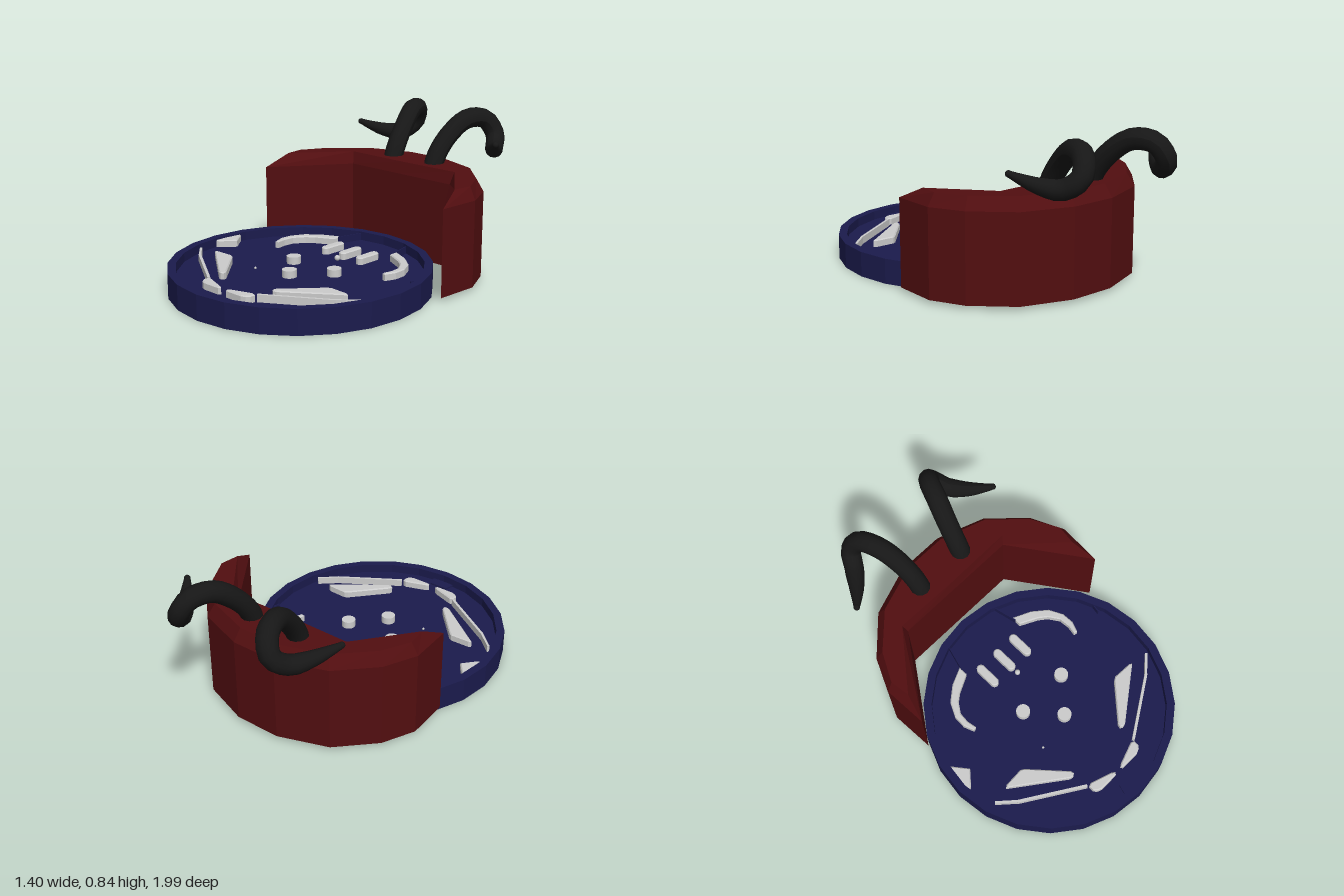
import * as THREE from 'three';

const mat = (color, extra = {}) => new THREE.MeshStandardMaterial({ color, ...extra });
const navy = mat(0x1b1b4d), red = mat(0x520e10, { flatShading: true });
const black = mat(0x171717), grey = mat(0xcccccc);
const FLOOR = 0.085, TOP = 0.125;

function add(parent, name, geometry, material, x = 0, y = 0, z = 0) {
  const mesh = new THREE.Mesh(geometry, material);
  mesh.name = name;
  mesh.position.set(x, y, z);
  parent.add(mesh);
  return mesh;
}

// Upright slab from a plan shape whose y runs towards the back (-z)
function slab(shape, y0, y1, bevel = 0) {
  const geo = new THREE.ExtrudeGeometry(shape, {
    depth: y1 - y0 - bevel, bevelEnabled: bevel > 0, bevelSize: bevel, bevelThickness: bevel,
    bevelOffset: -bevel, bevelSegments: 1, curveSegments: 6,
  });
  return geo.rotateX(-Math.PI / 2).translate(0, y0, 0);
}

// Plan shape from [x, z] points, optionally mirrored about x = axis
const plan = (pts, mirror = false, axis = 0) =>
  new THREE.Shape(pts.map(([x, z]) => new THREE.Vector2(mirror ? 2 * axis - x : x, -z)));

function mirroredPair(parent, name, pts, axis = 0) {
  add(parent, name + 'Right', slab(plan(pts), FLOOR, TOP, 0.006), grey);
  add(parent, name + 'Left', slab(plan(pts, true, axis), FLOOR, TOP, 0.006), grey);
}

function wall(parent, name, [x0, z0], [x1, z1], material, width) {
  const len = Math.hypot(x1 - x0, z1 - z0);
  const mesh = add(parent, name, new THREE.BoxGeometry(len, TOP - FLOOR, width), material,
    (x0 + x1) / 2, (TOP + FLOOR) / 2, (z0 + z1) / 2);
  mesh.rotation.y = -Math.atan2(z1 - z0, x1 - x0);
}

// Stack of matching rings (plan points plus height), capped at both ends
function loft(rings) {
  const pos = [], n = rings[0].pts.length;
  const put = (r, i) => pos.push(r.pts[i].x, r.y, -r.pts[i].y);
  for (let k = 0; k + 1 < rings.length; k++) {
    const a = rings[k], b = rings[k + 1];
    for (let i = 0; i < n; i++) {
      const j = (i + 1) % n;
      put(a, i); put(a, j); put(b, j);
      put(a, i); put(b, j); put(b, i);
    }
  }
  const last = rings[rings.length - 1];
  for (const [a, b, c] of THREE.ShapeUtils.triangulateShape(last.pts, [])) {
    put(last, a); put(last, b); put(last, c);
  }
  for (const [a, b, c] of THREE.ShapeUtils.triangulateShape(rings[0].pts, [])) {
    put(rings[0], c); put(rings[0], b); put(rings[0], a);
  }
  const geo = new THREE.BufferGeometry();
  geo.setAttribute('position', new THREE.Float32BufferAttribute(pos, 3));
  geo.computeVertexNormals();
  return geo;
}

// Full outline from its +x half; the first point lies on the mirror axis
function outline(half, cx) {
  const right = half.map(([x, z]) => new THREE.Vector2(cx + x, -z));
  const left = half.slice(1).reverse().map(([x, z]) => new THREE.Vector2(cx - x, -z));
  return [...right, ...left];
}

// Tube whose radius follows a list of values along the path
function taperedTube(points, radii, segments = 26, sides = 12) {
  const curve = new THREE.CatmullRomCurve3(points.map((p) => new THREE.Vector3(...p)));
  const geo = new THREE.TubeGeometry(curve, segments, 1, sides);
  const pos = geo.attributes.position, v = new THREE.Vector3();
  for (let i = 0; i <= segments; i++) {
    const t = i / segments, c = curve.getPointAt(t);
    const f = t * (radii.length - 1), k = Math.min(Math.floor(f), radii.length - 2);
    const r = THREE.MathUtils.lerp(radii[k], radii[k + 1], f - k);
    for (let j = 0; j <= sides; j++) {
      const id = i * (sides + 1) + j;
      v.fromBufferAttribute(pos, id).sub(c).multiplyScalar(r).add(c);
      pos.setXYZ(id, v.x, v.y, v.z);
    }
  }
  geo.computeVertexNormals();
  return geo;
}

function makeTable() {
  const table = new THREE.Group();
  table.name = 'table';
  const ring = (r) => Array.from({ length: 24 }, (_, i) => {
    const a = (i / 24) * Math.PI * 2;
    return [r * Math.cos(a), 0.3 - r * Math.sin(a)];
  });
  // Tray floor and raised rim
  add(table, 'tableFloor', slab(plan(ring(0.7)), 0, FLOOR), navy);
  const rim = plan(ring(0.7));
  rim.holes.push(plan(ring(0.655)));
  add(table, 'rim', slab(rim, FLOOR, 0.135), navy);

  // Entry lane walls, side gate and drain
  wall(table, 'laneWallRight', [-0.2, -0.19], [-0.155, -0.35], navy, 0.006);
  wall(table, 'laneWallLeft', [0.225, -0.19], [0.19, -0.35], navy, 0.006);
  wall(table, 'sideGate', [0.6, 0.11], [0.61, 0.05], navy, 0.006);
  add(table, 'drain', slab(plan([[-0.07, 0.95], [0.07, 0.95], [0.055, 0.89], [-0.055, 0.89]]), FLOOR, 0.095), navy);

  // Round bumpers, lane posts and ball
  for (const [x, z] of [[-0.13, 0.225], [0.175, 0.225], [0.02, 0.4]])
    add(table, 'bumper', new THREE.CylinderGeometry(0.039, 0.039, TOP - FLOOR, 20), grey, x, (TOP + FLOOR) / 2, z);
  for (const x of [-0.12, 0.013, 0.14]) {
    const s = new THREE.Shape();
    s.absarc(x, 0.12, 0.024, 0, Math.PI);
    s.absarc(x, 0.012, 0.024, Math.PI, Math.PI * 2);
    add(table, 'lanePost', slab(s, FLOOR, TOP, 0.006), grey);
  }
  add(table, 'ball', new THREE.SphereGeometry(0.016, 12, 8), grey, 0.015, FLOOR + 0.016, 0.037);
  add(table, 'pin', new THREE.SphereGeometry(0.007, 8, 6), grey, -0.195, FLOOR + 0.007, 0.445);

  // Curved guides, slingshots, flippers and outlane rails
  mirroredPair(table, 'curvedGuide', [[-0.2, -0.21], [-0.3, -0.165], [-0.38, -0.1], [-0.42, -0.02],
    [-0.423, 0.05], [-0.4, 0.11], [-0.38, 0.105], [-0.39, 0.05], [-0.385, -0.01], [-0.345, -0.07],
    [-0.3, -0.105], [-0.2, -0.155]], 0.013);
  mirroredPair(table, 'slingshot', [[-0.505, 0.465], [-0.49, 0.455], [-0.38, 0.45], [-0.36, 0.462],
    [-0.19, 0.65], [-0.185, 0.67], [-0.2, 0.68], [-0.22, 0.675]]);
  mirroredPair(table, 'flipper', [[-0.18, 0.78], [-0.16, 0.772], [-0.04, 0.813], [-0.022, 0.825],
    [-0.03, 0.838], [-0.14, 0.838], [-0.165, 0.828], [-0.18, 0.81]]);
  for (const s of [-1, 1]) {
    wall(table, 'outlaneRail', [s * 0.605, 0.48], [s * 0.51, 0.565], grey, 0.013);
    wall(table, 'outlaneRail', [s * 0.515, 0.562], [s * 0.185, 0.77], grey, 0.015);
  }
  add(table, 'sideTarget', slab(plan([[-0.655, 0.16], [-0.635, 0.165], [-0.568, 0.25], [-0.635, 0.325],
    [-0.655, 0.335]]), FLOOR, TOP, 0.006), grey);
  return table;
}

export function createModel() {
  const model = new THREE.Group();
  model.name = 'hornedGameTable';
  model.add(makeTable());

  // Curved back cabinet with a chamfered top
  const cx = 0.03;
  const body = outline([[0, -0.45], [0.36, -0.45], [0.655, -0.03], [0.667, -0.275], [0.585, -0.455],
    [0.4, -0.64], [0.13, -0.735]], cx);
  const top = outline([[0, -0.465], [0.375, -0.47], [0.615, -0.17], [0.63, -0.28], [0.55, -0.435],
    [0.375, -0.605], [0.12, -0.692]], cx);
  add(model, 'backCabinet', loft([{ pts: body, y: 0.02 }, { pts: body, y: 0.49 }, { pts: top, y: 0.558 }]), red);

  // Curling horns
  const path = [[0.15, 0.5, -0.55], [0.152, 0.6, -0.59], [0.17, 0.71, -0.68], [0.205, 0.785, -0.79],
    [0.25, 0.775, -0.9], [0.295, 0.69, -0.935], [0.345, 0.63, -0.865], [0.405, 0.64, -0.78],
    [0.46, 0.67, -0.71], [0.498, 0.695, -0.665]];
  const radii = [0.055, 0.055, 0.055, 0.056, 0.056, 0.054, 0.053, 0.05, 0.035, 0.016];
  for (const [side, s] of [['Left', 1], ['Right', -1]]) {
    const pts = path.map(([x, y, z]) => [cx + s * x, y, z]);
    const horn = new THREE.Group();
    horn.name = 'horn' + side;
    add(horn, 'hornCurl', taperedTube(pts, radii), black);
    add(horn, 'hornTip', new THREE.SphereGeometry(0.017, 12, 8), black, ...pts[pts.length - 1]);
    model.add(horn);
  }
  return model;
}
